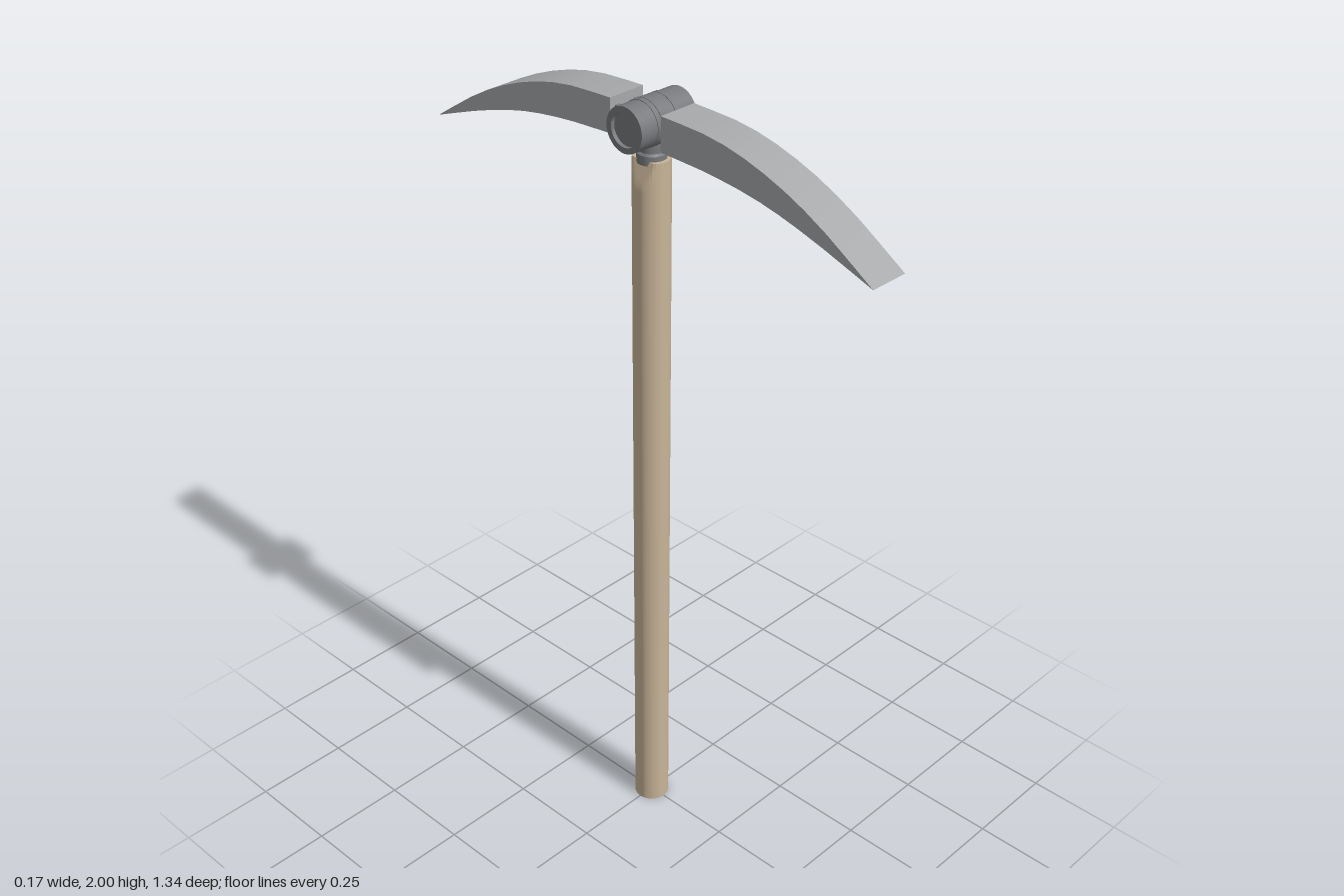
import * as THREE from 'three';
import { toCreasedNormals } from 'three/addons/utils/BufferGeometryUtils.js';

const steel = new THREE.MeshStandardMaterial({ color: 0xa6a8aa });
const darkSteel = new THREE.MeshStandardMaterial({ color: 0x77797c });
const wood = new THREE.MeshStandardMaterial({ color: 0xc8b498 });

const V2 = (x, y) => new THREE.Vector2(x, y);
const HUB_Y = 1.946;

function add(parent, name, geometry, material) {
  const mesh = new THREE.Mesh(toCreasedNormals(geometry, 0.5), material);
  mesh.name = name;
  parent.add(mesh);
  return mesh;
}

// Round shaft whose two sides are pared down to a chamfer at the top
function handleGeometry() {
  const r = 0.045;
  const heights = [0, 1.79, 1.805, 1.82, 1.84, 1.86];
  const profile = [V2(0, 0), ...heights.map((y) => V2(r, y)), V2(0, 1.86)];
  const geo = new THREE.LatheGeometry(profile, 32);
  const pos = geo.attributes.position;
  for (let i = 0; i < pos.count; i++) {
    const limit = r - 0.28 * Math.max(0, pos.getY(i) - 1.8);
    pos.setX(i, THREE.MathUtils.clamp(pos.getX(i), -limit, limit));
  }
  return geo;
}

// Curved blade drawn in side profile, then extruded across its width
function bladeGeometry() {
  const top = new THREE.SplineCurve([
    V2(0.077, 1.99), V2(0.23, 1.982), V2(0.37, 1.947), V2(0.51, 1.885), V2(0.668, 1.786),
  ]);
  const bottom = new THREE.SplineCurve([
    V2(0.668, 1.786), V2(0.5, 1.844), V2(0.36, 1.881), V2(0.22, 1.9), V2(0.077, 1.907),
  ]);
  const shape = new THREE.Shape([...top.getPoints(10), ...bottom.getPoints(10).slice(1)]);
  const geo = new THREE.ExtrudeGeometry(shape, { depth: 0.104, bevelEnabled: false });
  geo.translate(0, 0, -0.052);
  geo.rotateY(-Math.PI / 2); // profile runs out along +z
  return geo;
}

export function createModel() {
  const model = new THREE.Group();
  add(model, 'handle', handleGeometry(), wood);

  // Hub barrel lying across the handle, with shallow recessed ends
  const barrel = new THREE.LatheGeometry([
    V2(0, -0.076), V2(0.04, -0.076), V2(0.04, -0.086), V2(0.054, -0.086),
    V2(0.054, 0.086), V2(0.04, 0.086), V2(0.04, 0.076), V2(0, 0.076),
  ], 32);
  barrel.rotateZ(Math.PI / 2);
  add(model, 'hubBarrel', barrel, darkSteel).position.y = HUB_Y;

  // Neck joining hub and handle
  const neck = new THREE.LatheGeometry([
    V2(0, 1.85), V2(0.035, 1.85), V2(0.035, 1.872), V2(0.03, 1.877), V2(0.03, 1.92),
  ], 24);
  add(model, 'neck', neck, darkSteel);

  // Front and back blades
  for (const [name, turn] of [['frontBlade', 0], ['backBlade', Math.PI]]) {
    add(model, name, bladeGeometry(), steel).rotation.y = turn;
  }

  // Lugs: one wide in front, a pair behind, each with a band round the hub
  const lugs = [
    ['frontLug', 0, 0.044, 1],
    ['backLugLeft', 0.03, 0.013, -1],
    ['backLugRight', -0.03, 0.013, -1],
  ];
  for (const [name, x, width, side] of lugs) {
    const lug = new THREE.Group();
    lug.name = name;
    lug.position.set(x, HUB_Y, 0);
    const arm = new THREE.BoxGeometry(width, 0.045, 0.055);
    add(lug, 'lugArm', arm, darkSteel).position.z = side * 0.06;
    const band = new THREE.CylinderGeometry(0.0555, 0.0555, width, 32);
    band.rotateZ(Math.PI / 2);
    add(lug, 'lugBand', band, darkSteel);
    model.add(lug);
  }
  return model;
}
